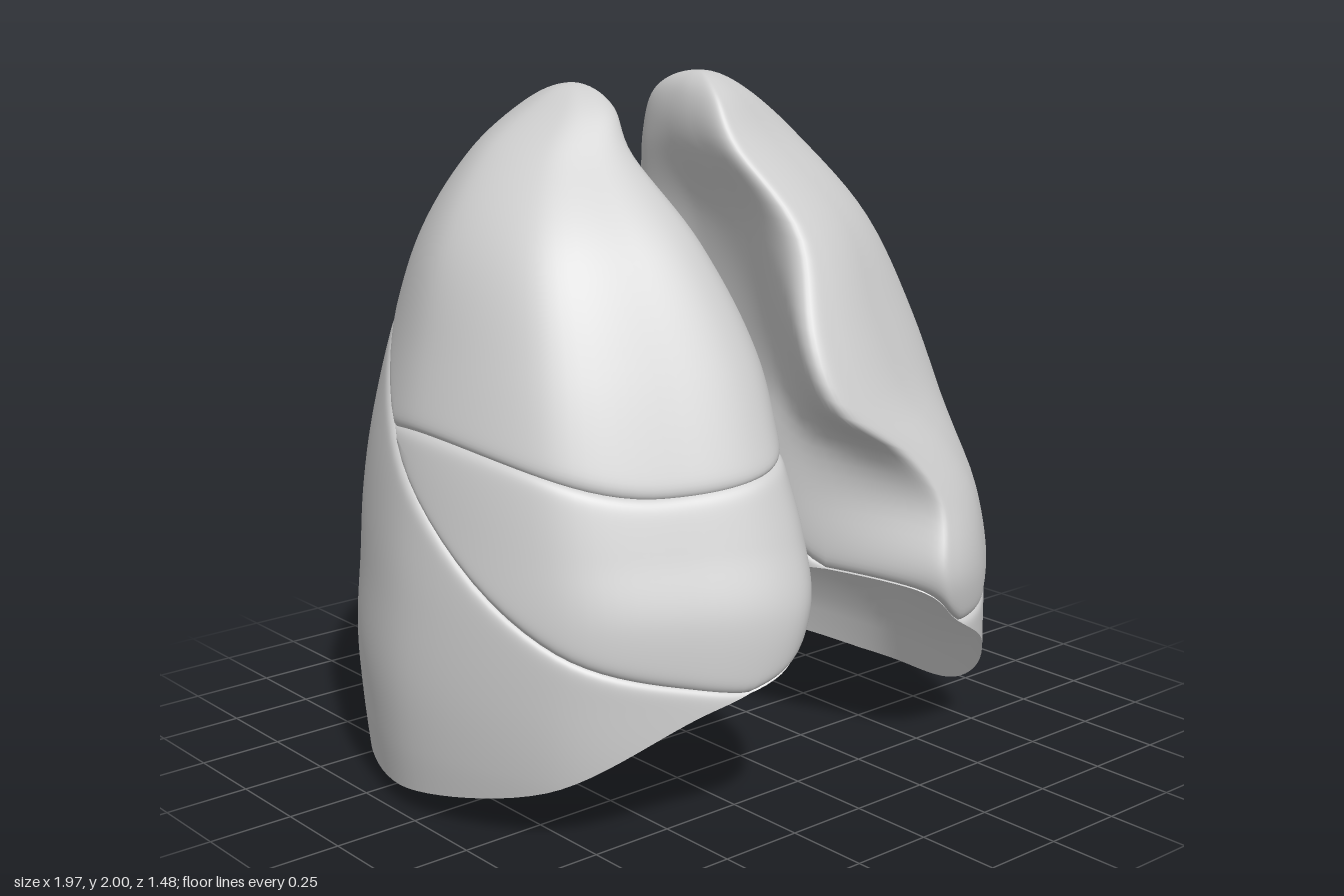
import * as THREE from 'three';

const TAU_STEPS = 110;
const tissue = new THREE.MeshStandardMaterial({ color: 0xcccccc });
tissue.name = 'pale grey tissue';

// Rows: height, lateral x, front z, back z, then medial x at front, middle and back
const LEFT = {
  side: 1, edge: 0.05, midAt: 0.43, backAt: 0.15, top: 2, centre: [0.56, 0.57, 0.12],
  rows: [
    [2.0, 0.22, -0.2, -0.2, 0.22, 0.22, 0.22],
    [1.94, 0.4, -0.06, -0.38, 0.16, 0.15, 0.17],
    [1.8, 0.58, 0.05, -0.47, 0.14, 0.14, 0.17],
    [1.56, 0.74, 0.28, -0.57, 0.18, 0.21, 0.2],
    [1.27, 0.84, 0.45, -0.65, 0.09, 0.24, 0.19],
    [1.08, 0.885, 0.54, -0.69, 0.12, 0.24, 0.18],
    [0.95, 0.91, 0.6, -0.71, 0.28, 0.21, 0.17],
    [0.8, 0.94, 0.665, -0.725, 0.36, 0.19, 0.17],
    [0.6, 0.97, 0.725, -0.73, 0.32, 0.18, 0.16],
    [0.42, 0.985, 0.7, -0.73, 0.36, 0.18, 0.15],
    [0.2, 0.98, 0.68, -0.7, 0.4, 0.18, 0.17],
    [0.0, 0.95, 0.6, -0.65, 0.5, 0.25, 0.27],
  ],
  rim: [0.0, 0.08, 0.32, 0.45, 0.55, 0.57, 0.5, 0.25, 0.07, 0.05, 0.04],
  oblique: (x, z) => 0.82 - 0.767 * z + 0.32 * z * z,
};
const RIGHT = {
  side: -1, edge: 0.12, midAt: 0.53, backAt: 0.38, top: 1.99, centre: [0.52, 0.6, 0.12],
  rows: [
    [1.99, 0.25, -0.2, -0.2, 0.25, 0.25, 0.25],
    [1.93, 0.38, -0.06, -0.37, 0.2, 0.18, 0.18],
    [1.8, 0.55, 0.05, -0.47, 0.2, 0.15, 0.15],
    [1.56, 0.73, 0.28, -0.57, 0.12, 0.17, 0.14],
    [1.27, 0.83, 0.46, -0.64, 0.06, 0.2, 0.13],
    [1.0, 0.905, 0.58, -0.69, 0.06, 0.19, 0.1],
    [0.8, 0.94, 0.66, -0.72, 0.05, 0.17, 0.05],
    [0.62, 0.965, 0.72, -0.73, 0.07, 0.14, 0.02],
    [0.4, 0.985, 0.71, -0.73, 0.15, 0.15, 0.05],
    [0.2, 0.98, 0.68, -0.7, 0.25, 0.18, 0.12],
    [0.0, 0.96, 0.6, -0.65, 0.4, 0.25, 0.25],
  ],
  rim: [0.06, 0.16, 0.37, 0.47, 0.62, 0.66, 0.63, 0.52, 0.07, 0.045, 0.05],
  oblique: (x, z) => 0.84 - 0.8 * z + 0.3 * z * z,
  horizontal: (x) => 0.95 + (x > 0.5 ? 0.85 : 0.38) * (x - 0.5) ** 2,
};

// Uniform cubic through b and c
const cubic = (a, b, c, d, t) =>
  b + 0.5 * t * (c - a + t * (2 * a - 5 * b + 4 * c - d + t * (3 * (b - c) + d - a)));

// Closed loop of control values sampled at u in 0..1
function loop(values, u) {
  const n = values.length, p = u * n, i = Math.floor(p);
  const at = (k) => values[(i + k + n) % n];
  return cubic(at(-1), at(0), at(1), at(2), p - i);
}

// Row dimensions at height y; the square root rounds the apex
function dimensions(lung, y) {
  const { rows, top } = lung;
  const s = (h) => Math.sqrt(Math.max(0, top - h));
  const at = s(Math.max(0, y));
  let i = 0;
  while (i < rows.length - 2 && at > s(rows[i + 1][0])) i++;
  const r = (k) => rows[Math.min(rows.length - 1, Math.max(0, k))];
  const S = [r(i - 1), r(i), r(i + 1), r(i + 2)].map((q) => s(q[0]));
  const h = S[2] - S[1], t = Math.min(1, (at - S[1]) / h);
  return [1, 2, 3, 4, 5, 6].map((c) => {
    const b = r(i)[c], e = r(i + 1)[c];
    const m0 = h * (e - r(i - 1)[c]) / (S[2] - S[0]);
    const m1 = h * (r(i + 2)[c] - b) / (S[3] - S[1]);
    const t2 = t * t, t3 = t2 * t;
    return (2 * t3 - 3 * t2 + 1) * b + (t3 - 2 * t2 + t) * m0 + (3 * t2 - 2 * t3) * e + (t3 - t2) * m1;
  });
}

// Point of the outer skin: lateral, front, medial, back around the loop
function skin(lung, u, y, inset = 0) {
  const [L, F, B, mf, mm, mb] = dimensions(lung, y);
  const d = F - B, w = L - mm, f = L - mf;
  const xs = [L, L - 0.19 * w, mf + 0.43 * f, mf + 0.14 * f, mf, mm, mm + 0.02 * w, mb,
    mm + 0.2 * w, mm + 0.48 * w, L - 0.19 * w];
  const zs = [0.45, 0.79, 0.955, 1, 1 - lung.edge, 0.68, lung.midAt, lung.backAt, 0.035, 0, 0.13]
    .map((k) => B + k * d);
  const x = loop(xs, u), z = loop(zs, u);
  const cx = (L + mm) / 2 - x, cz = (F + B) / 2 - z;
  const k = inset / Math.max(0.05, Math.hypot(cx, cz));
  return [x + cx * k, y, z + cz * k];
}

// Surface closed around u, open along v
function surface(lung, name, rows, point) {
  const pos = [], index = [], n = TAU_STEPS;
  for (let j = 0; j <= rows; j++)
    for (let i = 0; i < n; i++) {
      const p = point(i, j / rows);
      pos.push(p[0] * lung.side, p[1], p[2]);
    }
  for (let j = 0; j < rows; j++)
    for (let i = 0; i < n; i++) {
      const a = j * n + i, b = j * n + (i + 1) % n, c = a + n, d = b + n;
      if (lung.side > 0) index.push(a, c, b, b, c, d);
      else index.push(a, b, c, b, d, c);
    }
  const g = new THREE.BufferGeometry();
  g.setAttribute('position', new THREE.Float32BufferAttribute(pos, 3));
  g.setIndex(index);
  g.computeVertexNormals();
  const mesh = new THREE.Mesh(g, tissue);
  mesh.name = name;
  return mesh;
}

// Lobe wall between two boundary heights, rolled inward along the fissures
function lobe(lung, name, low, high, grooveLow, grooveHigh) {
  return surface(lung, name, 48, (i, v) => {
    const e = (1 - Math.cos(Math.PI * v)) / 2;
    const y = low[i] + (high[i] - low[i]) * e;
    let inset = 0;
    if (grooveLow) inset = Math.exp(-(y - low[i]) / 0.012);
    if (grooveHigh) inset = Math.max(inset, Math.exp(-(high[i] - y) / 0.012));
    return skin(lung, i / TAU_STEPS, y, 0.016 * inset);
  });
}

function buildLung(lung, name) {
  const group = new THREE.Group();
  group.name = name;
  const ring = Array.from({ length: TAU_STEPS }, (_, i) => i / TAU_STEPS);
  const rim = ring.map((u) => Math.max(0, loop(lung.rim, u)));

  // Height at which the skin crosses a fissure
  const crossing = (fissure) => ring.map((u, i) => {
    let a = rim[i], b = 1.9;
    for (let k = 0; k < 22; k++) {
      const m = (a + b) / 2, p = skin(lung, u, m);
      if (m < fissure(p[0], p[2])) a = m; else b = m;
    }
    return Math.max(b, rim[i] + 0.004);
  });
  const oblique = crossing(lung.oblique);
  const apex = ring.map(() => lung.top);

  // Hollow underside resting on the diaphragm
  group.add(surface(lung, 'hollowBase', 24, (i, v) => {
    const p = skin(lung, ring[i], rim[i]), c = lung.centre;
    const rise = Math.pow(Math.max(0, 1 - v * v), 0.7);
    return [c[0] + (p[0] - c[0]) * v, p[1] + (c[1] - p[1]) * rise, c[2] + (p[2] - c[2]) * v];
  }));
  group.add(lobe(lung, 'lowerLobe', rim, oblique, false, true));
  if (lung.horizontal) {
    const across = crossing(lung.horizontal).map((y, i) => Math.max(y, oblique[i]));
    group.add(lobe(lung, 'middleLobe', oblique, across, true, true));
    group.add(lobe(lung, 'upperLobe', across, apex, true, false));
  } else {
    group.add(lobe(lung, 'upperLobe', oblique, apex, true, false));
  }

  // Airway and vessel openings on the medial face
  const opening = new THREE.TorusGeometry(0.03, 0.008, 8, 20);
  for (const [y, u] of [[1.3, 0.53], [1.22, 0.57], [1.14, 0.54]]) {
    const p = skin(lung, u, y);
    const m = new THREE.Mesh(opening, tissue);
    m.name = 'hilumOpening';
    m.position.set(p[0] * lung.side, p[1], p[2]);
    m.rotation.y = Math.PI / 2;
    group.add(m);
  }
  return group;
}

export function createModel() {
  const model = new THREE.Group();
  model.name = 'lungs';
  model.add(buildLung(LEFT, 'leftLung'), buildLung(RIGHT, 'rightLung'));
  return model;
}
